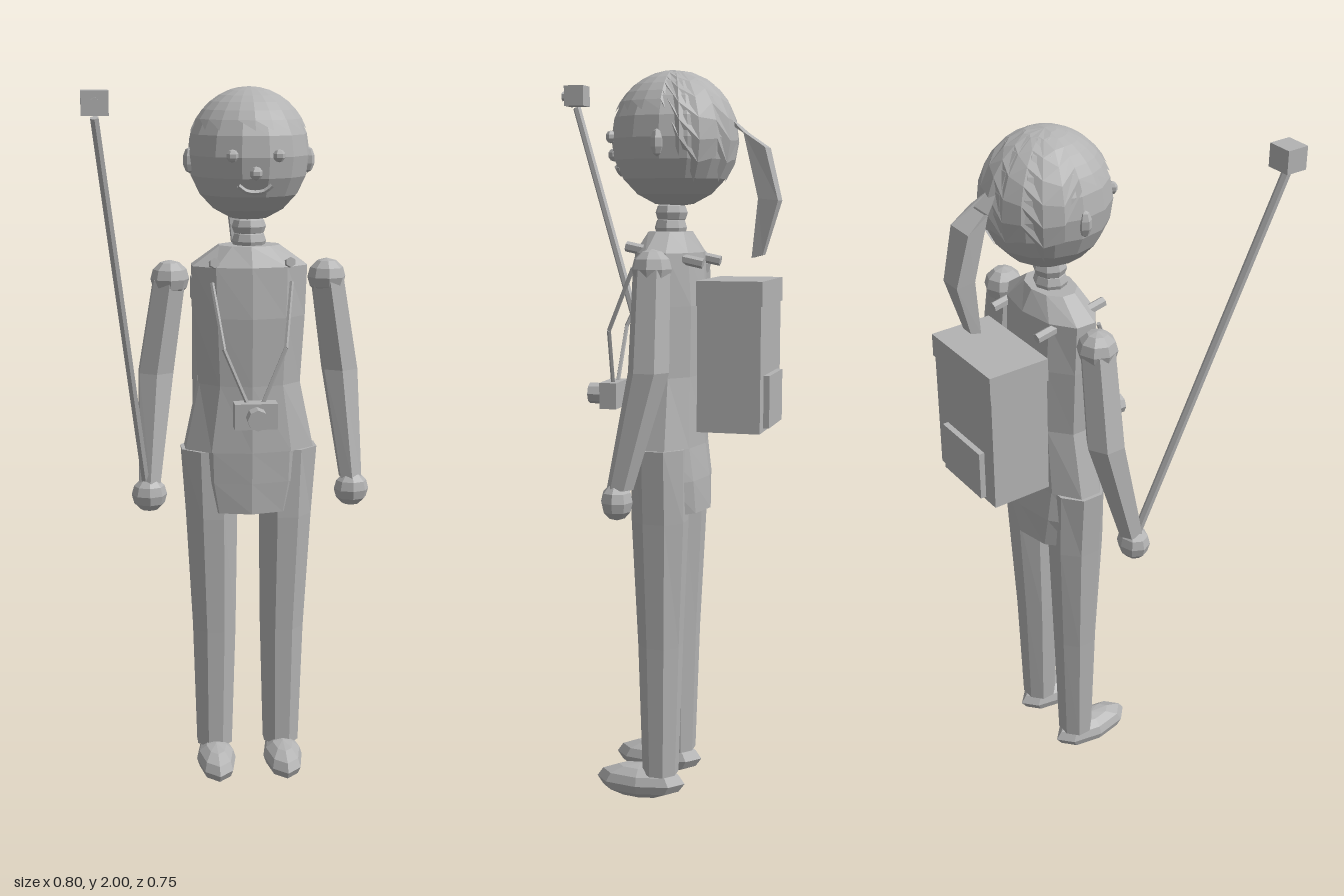
import * as THREE from 'three';

const grey = new THREE.MeshStandardMaterial({ color: 0xb3b3b3 });
grey.name = 'plain grey';
grey.flatShading = true;
grey.side = THREE.DoubleSide;

const CX = 0.06; // middle of the figure
const HEAD = { y: 1.82, z: -0.08, rx: 0.168, ry: 0.18, rz: 0.17 };

export function createModel() {
  const model = new THREE.Group();

  const add = (name, geo, x = 0, y = 0, z = 0) => {
    const mesh = new THREE.Mesh(geo, grey);
    mesh.name = name;
    mesh.position.set(x, y, z);
    model.add(mesh);
    return mesh;
  };
  const box = (name, w, h, d, x, y, z) => add(name, new THREE.BoxGeometry(w, h, d), x, y, z);
  const ball = (name, rx, ry, rz, x, y, z, w = 8, h = 6) =>
    add(name, new THREE.SphereGeometry(1, w, h).scale(rx, ry, rz), x, y, z);

  // Straight rod between two points
  const rod = (name, a, b, r, sides = 6) => {
    const from = new THREE.Vector3(...a), to = new THREE.Vector3(...b);
    const dir = to.clone().sub(from);
    const mesh = add(name, new THREE.CylinderGeometry(r, r, dir.length(), sides));
    mesh.position.copy(from).add(to).multiplyScalar(0.5);
    mesh.quaternion.setFromUnitVectors(new THREE.Vector3(0, 1, 0), dir.normalize());
    return mesh;
  };

  // Skin over rings listed from top to bottom: [x, y, z, rx, rz, tilt]
  const loft = (name, rings, sides) => {
    const pos = [], idx = [];
    for (const [x, y, z, rx, rz, tilt = 0] of rings) {
      for (let i = 0; i < sides; i++) {
        const a = ((i + 0.5) / sides) * Math.PI * 2, d = Math.sin(a) * rz;
        pos.push(x + Math.cos(a) * rx, y - d * Math.sin(tilt), z + d * Math.cos(tilt));
      }
    }
    const last = rings.length - 1, top = pos.length / 3;
    pos.push(...rings[0].slice(0, 3), ...rings[last].slice(0, 3));
    for (let i = 0; i < sides; i++) {
      const j = (i + 1) % sides;
      for (let r = 0; r < last; r++) {
        const a = r * sides + i, b = r * sides + j;
        idx.push(b, b + sides, a + sides, b, a + sides, a);
      }
      idx.push(top, j, i, top + 1, last * sides + i, last * sides + j);
    }
    const geo = new THREE.BufferGeometry();
    geo.setAttribute('position', new THREE.Float32BufferAttribute(pos, 3));
    geo.setIndex(idx);
    geo.computeVertexNormals();
    return add(name, geo);
  };

  // Depth of the face surface at a point
  const faceZ = (dx, y) => HEAD.z + HEAD.rz *
    Math.sqrt(1 - (dx / HEAD.rx) ** 2 - ((y - HEAD.y) / HEAD.ry) ** 2);

  // Head and neck
  ball('head', HEAD.rx, HEAD.ry, HEAD.rz, CX, HEAD.y, HEAD.z, 14, 10);
  ball('neckUpper', 0.048, 0.035, 0.045, CX, 1.625, -0.072);
  ball('neckLower', 0.048, 0.04, 0.045, CX, 1.585, -0.07);
  ball('nose', 0.018, 0.018, 0.018, CX, 1.78, faceZ(0, 1.78) + 0.003, 6, 5);
  const smile = [[-0.045, 1.747], [-0.025, 1.732], [0, 1.728], [0.025, 1.732], [0.045, 1.747]]
    .map(([x, y]) => new THREE.Vector3(CX + x, y, faceZ(x, y)));
  add('mouth', new THREE.TubeGeometry(new THREE.CatmullRomCurve3(smile), 8, 0.007, 5));

  // Hair cap: short at the front, long and jagged at the back
  const hair = new THREE.SphereGeometry(1, 20, 7);
  const p = hair.attributes.position, uv = hair.attributes.uv;
  for (let i = 0; i < p.count; i++) {
    const col = i % 21, row = Math.floor(i / 21);
    const back = col > 10 && col < 20;
    const edge = back ? (col % 2 ? 1.85 : 2.25) : 1.17;
    const theta = (row / 7) * edge, phi = (col / 20) * Math.PI * 2;
    p.setXYZ(i, -Math.cos(phi) * Math.sin(theta) * (HEAD.rx + 0.004),
      Math.cos(theta) * (HEAD.ry + 0.002), Math.sin(phi) * Math.sin(theta) * (HEAD.rz + 0.004));
  }
  hair.computeVertexNormals();
  add('hair', hair, CX, HEAD.y - 0.002, HEAD.z);
  loft('ponytail', [
    [CX, 1.865, -0.235, 0.018, 0.018, -1.2],
    [CX, 1.815, -0.305, 0.058, 0.05, -0.6],
    [CX, 1.66, -0.342, 0.045, 0.038, -0.1],
    [CX, 1.51, -0.312, 0.026, 0.022, 0.25],
  ], 4);

  // Torso and pelvis
  loft('torso', [
    [CX, 1.575, -0.07, 0.088, 0.06],
    [CX, 1.52, -0.07, 0.168, 0.09],
    [CX, 1.38, -0.07, 0.162, 0.1],
    [CX, 1.19, -0.07, 0.15, 0.095],
    [CX, 1.0, -0.07, 0.192, 0.1],
  ], 10);
  loft('pelvis', [
    [CX, 1.0, -0.07, 0.185, 0.1],
    [CX, 0.91, -0.077, 0.18, 0.105],
    [CX, 0.82, -0.08, 0.155, 0.105],
  ], 10);

  // Mirrored parts
  for (const s of [-1, 1]) {
    const side = s < 0 ? 'right' : 'left';
    const X = (d) => CX + s * d;
    ball(side + 'Eye', 0.017, 0.017, 0.014, X(0.062), 1.825, faceZ(0.062, 1.825) + 0.002, 6, 5);
    ball(side + 'Ear', 0.02, 0.036, 0.018, X(0.162), 1.805, -0.075, 6, 5);

    ball(side + 'Shoulder', 0.054, 0.052, 0.054, X(0.22), 1.482, -0.077);
    loft(side + 'UpperArm', [
      [X(0.222), 1.48, -0.077, 0.05, 0.05],
      [X(0.262), 1.22, -0.08, 0.055, 0.055],
    ], 6);
    loft(side + 'Forearm', [
      [X(0.262), 1.22, -0.08, 0.055, 0.055],
      [X(0.287), 0.915, -0.01, 0.034, 0.036],
    ], 6);
    ball(side + 'Hand', 0.05, 0.05, 0.043, X(0.289), 0.882, -0.002);

    loft(side + 'Leg', [
      [X(0.108), 1.0, -0.07, 0.092, 0.078],
      [X(0.107), 0.8, -0.07, 0.078, 0.078],
      [X(0.1), 0.45, -0.07, 0.066, 0.062],
      [X(0.1), 0.08, -0.07, 0.055, 0.05],
    ], 8);
    ball(side + 'Foot', 0.058, 0.048, 0.127, X(0.1), 0.05, -0.012);

    // Pack strap passing over the shoulder and cord of the camera
    rod(side + 'PackStrap', [X(0.104), 1.537, 0.025], [X(0.104), 1.493, -0.185], 0.014);
    rod(side + 'UpperCord', [X(0.11), 1.48, 0.005], [X(0.085), 1.31, 0.08], 0.006, 5);
    rod(side + 'LowerCord', [X(0.085), 1.31, 0.08], [X(0.022), 1.16, 0.088], 0.006, 5);
  }

  // Chest camera
  box('chestCamera', 0.118, 0.072, 0.048, CX, 1.127, 0.093);
  rod('chestCameraLens', [CX, 1.127, 0.11], [CX, 1.127, 0.162], 0.029, 8);

  // Backpack
  box('backpack', 0.276, 0.34, 0.17, CX, 1.22, -0.263);
  box('backpackLid', 0.284, 0.065, 0.176, CX, 1.417, -0.264);
  box('backpackPocket', 0.184, 0.14, 0.02, CX, 1.13, -0.354);

  // Pole with a small camera on top
  rod('pole', [-0.238, 0.91, 0.0], [-0.365, 1.935, 0.335], 0.012);
  box('poleCamera', 0.067, 0.06, 0.06, -0.364, 1.97, 0.335);
  rod('poleCameraLens', [-0.364, 1.97, 0.36], [-0.364, 1.97, 0.38], 0.014);

  return model;
}
